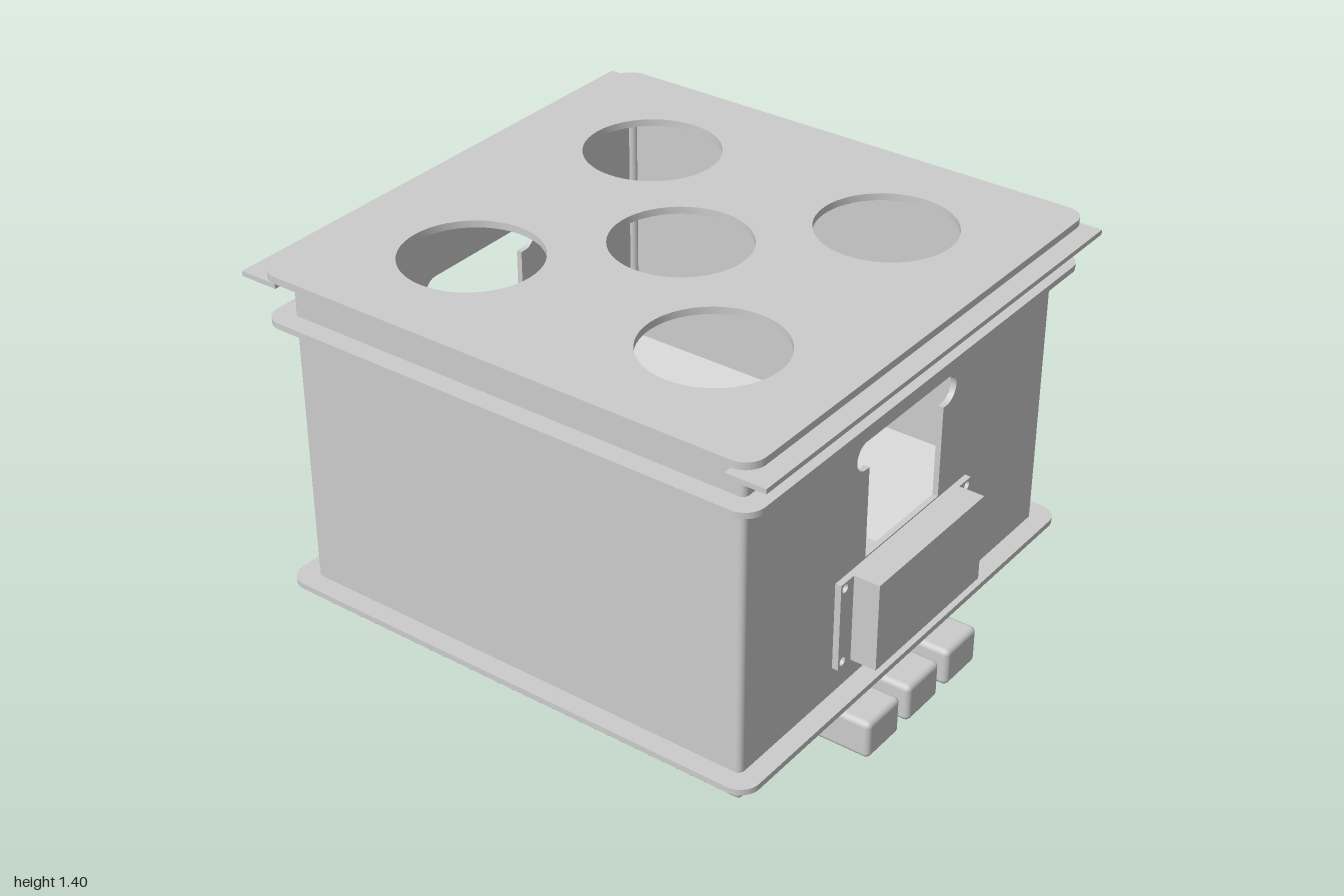
import * as THREE from 'three';
import { RoundedBoxGeometry } from 'three/addons/geometries/RoundedBoxGeometry.js';
import { toCreasedNormals } from 'three/addons/utils/BufferGeometryUtils.js';

const ZC = -0.015;   // centre of the crate in z
const HALF = 0.86;   // half width of the crate body
const WALL = 0.02;   // wall thickness
const material = new THREE.MeshStandardMaterial({ color: 0xcccccc });

export function createModel() {
  const model = new THREE.Group();
  const add = (name, geometry, x = 0, y = 0, z = 0) => {
    const mesh = new THREE.Mesh(geometry, material);
    mesh.name = name;
    mesh.position.set(x, y, z);
    model.add(mesh);
    return mesh;
  };
  // Box given by its limits, optionally with rounded edges
  const block = (name, x0, x1, y0, y1, z0, z1, r = 0) => {
    const s = [x1 - x0, y1 - y0, z1 - z0];
    const g = r ? new RoundedBoxGeometry(...s, 4, r) : new THREE.BoxGeometry(...s);
    return add(name, g, (x0 + x1) / 2, (y0 + y1) / 2, (z0 + z1) / 2);
  };
  const roundedSquare = (h, r) => {
    const s = new THREE.Shape();
    s.absarc(h - r, h - r, r, 0, Math.PI / 2);
    s.absarc(-h + r, h - r, r, Math.PI / 2, Math.PI);
    s.absarc(-h + r, -h + r, r, Math.PI, Math.PI * 1.5);
    s.absarc(h - r, -h + r, r, Math.PI * 1.5, Math.PI * 2);
    s.closePath();
    return s;
  };
  const circle = (x, y, r) => new THREE.Path().absarc(x, y, r, 0, Math.PI * 2);
  const extrude = (shape, depth) => toCreasedNormals(
    new THREE.ExtrudeGeometry(shape, { depth, bevelEnabled: false, curveSegments: 24 }), 0.6);
  // Horizontal plate: shape y becomes -z, thickness goes up
  const plate = (name, shape, y, depth) =>
    add(name, extrude(shape, depth).rotateX(-Math.PI / 2), 0, y, ZC);
  // Profile drawn as (z, y), extruded from x = xEnd towards -x
  const sideways = (name, shape, xEnd, depth) =>
    add(name, extrude(shape, depth).rotateY(-Math.PI / 2), xEnd, 0, ZC);

  // Floor slab with rounded lower edges
  block('floor', -HALF, HALF, 0.14, 0.19, ZC - HALF, ZC + HALF, 0.02);

  // Front and back walls
  const inner = HALF - WALL;
  for (const [name, s] of [['frontWall', 1], ['backWall', -1]]) {
    const z = ZC + s * (HALF - WALL / 2);
    block(name, -inner, inner, 0.165, 1.375, z - WALL / 2, z + WALL / 2);
  }

  // Side walls with a T-shaped hand opening
  for (const [name, x] of [['leftWall', HALF], ['rightWall', -inner]]) {
    const wall = new THREE.Shape();
    wall.moveTo(-inner, 0.165).lineTo(inner, 0.165).lineTo(inner, 1.375).lineTo(-inner, 1.375);
    wall.closePath();
    const opening = new THREE.Path();
    opening.moveTo(-0.21, 0.67).lineTo(0.21, 0.67).lineTo(0.21, 1.0);
    opening.absarc(0.23, 1.05, 0.05, -Math.PI / 2, Math.PI / 2);
    opening.absarc(-0.23, 1.05, 0.05, Math.PI / 2, Math.PI * 1.5);
    opening.lineTo(-0.21, 1.0);
    opening.closePath();
    wall.holes.push(opening);
    sideways(name, wall, x, WALL);
  }

  // Rounded vertical corners
  for (const sx of [-1, 1]) for (const sz of [-1, 1]) {
    add('corner', new THREE.CylinderGeometry(WALL, WALL, 1.21, 24),
      sx * inner, 0.77, ZC + sz * inner);
  }

  // Bands around the body
  for (const y of [0.225, 1.214]) {
    const band = roundedSquare(0.93, 0.07);
    band.holes.push(new THREE.Path(roundedSquare(inner + 0.005, 0.02).getPoints(8)));
    plate('band', band, y, 0.021);
  }

  // Top plate with five round openings
  const lid = roundedSquare(0.93, 0.07);
  for (const [x, y] of [[0, 0], [-1, -1], [-1, 1], [1, -1], [1, 1]]) {
    lid.holes.push(circle(x * 0.465, y * 0.465, 0.235));
  }
  plate('topPlate', lid, 1.375, 0.025);

  // Slide strips under the edges of the top plate
  block('leftStrip', 0.86, 1, 1.358, 1.375, -0.915, 0.945);
  block('rightStrip', -1, -0.86, 1.358, 1.375, -0.945, 0.915);

  // Sloped inner floor along the front and back walls
  for (const [name, s] of [['frontSlope', 1], ['backSlope', -1]]) {
    const wedge = new THREE.Shape();
    wedge.moveTo(s * 0.465, 0.185).lineTo(s * inner, 0.185).lineTo(s * inner, 0.39);
    wedge.closePath();
    sideways(name, wedge, inner, inner * 2);
  }

  // Round ridge along the middle of the floor
  const ridge = new THREE.Shape();
  ridge.absarc(0, 0.185, 0.14, 0, Math.PI);
  ridge.closePath();
  sideways('floorRidge', ridge, inner, inner * 2);

  // Three runners underneath
  for (const z of [-0.248, ZC, 0.218]) {
    block('runner', -0.975, 0.975, 0, 0.14, z - 0.092, z + 0.092, 0.02);
  }

  // Side box on a flange with four screw holes
  const flange = new THREE.Shape();
  flange.moveTo(-0.375, 0.345).lineTo(0.375, 0.345).lineTo(0.375, 0.665).lineTo(-0.375, 0.665);
  flange.closePath();
  for (const z of [-0.352, 0.352]) for (const y of [0.367, 0.643]) {
    flange.holes.push(circle(z, y, 0.015));
  }
  sideways('sideBoxFlange', flange, 0.882, 0.022);
  block('sideBox', HALF, 0.975, 0.345, 0.665, ZC - 0.305, ZC + 0.305);

  return model;
}
